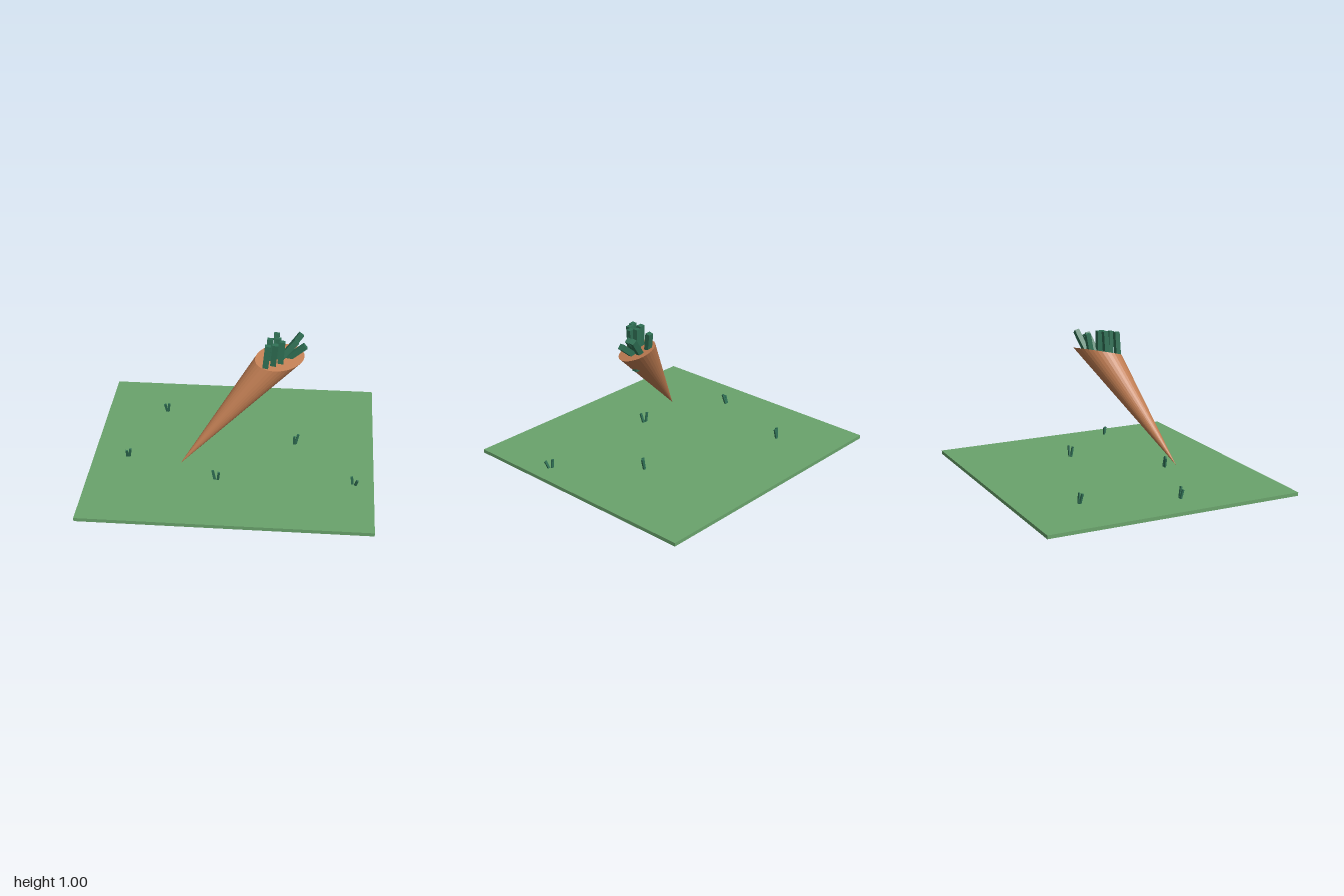
import * as THREE from 'three';

const material = (color) => new THREE.MeshStandardMaterial({ color, flatShading: true });

// Square bar running from point a to point b
function bar(name, a, b, width, depth, mat) {
  const start = new THREE.Vector3(...a), end = new THREE.Vector3(...b);
  const dir = end.clone().sub(start);
  const mesh = new THREE.Mesh(new THREE.BoxGeometry(width, dir.length(), depth), mat);
  mesh.position.copy(start).add(end).multiplyScalar(0.5);
  mesh.quaternion.setFromUnitVectors(new THREE.Vector3(0, 1, 0), dir.normalize());
  mesh.name = name;
  return mesh;
}

export function createModel() {
  const model = new THREE.Group();
  const groundMat = material(0x6aa36c);
  const carrotMat = material(0xc07d52);
  const leafMat = material(0x2f6f54);

  // Thin slab of lawn
  const lawn = new THREE.Mesh(new THREE.BoxGeometry(2, 0.025, 1.85), groundMat);
  lawn.position.y = 0.0275;
  lawn.name = 'lawn';
  model.add(lawn);

  // Carrot root: a cone sheared so its tip hangs away from the tilted rim
  const rim = new THREE.Vector3(0.317, 0.845, 0.052);
  const tip = new THREE.Vector3(-0.35, 0.13, 0.34);
  const axis = tip.clone().sub(rim);
  const shear = new THREE.Matrix4().makeBasis(
    new THREE.Vector3(0.168, -0.012, -0.055), axis, new THREE.Vector3(0, 0.034, -0.137));
  shear.setPosition(rim.clone().addScaledVector(axis, 0.5));
  const root = new THREE.Mesh(new THREE.ConeGeometry(1, 1, 32).applyMatrix4(shear), carrotMat);
  root.name = 'carrotRoot';
  model.add(root);

  // Stalks on the carrot: start point, end point
  const stalks = new THREE.Group();
  stalks.name = 'carrotStalks';
  [
    [[0.22, 0.78, 0.17], [0.24, 0.99, 0.165]],
    [[0.27, 0.78, 0.13], [0.29, 0.99, 0.145]],
    [[0.24, 0.78, 0.09], [0.25, 1.0, 0.08]],
    [[0.32, 0.78, 0.1], [0.335, 0.99, 0.095]],
    [[0.28, 0.8, -0.01], [0.29, 0.985, -0.04]],
    [[0.32, 0.8, -0.01], [0.46, 0.98, -0.05]],
    [[0.33, 0.8, 0.03], [0.49, 0.93, 0.03]],
    [[0.29, 0.8, 0.05], [0.43, 0.96, 0.02]],
    [[0.315, 0.69, 0.06], [0.305, 0.995, 0.06]],
  ].forEach(([a, b]) => stalks.add(bar('stalk', a, b, 0.04, 0.035, leafMat)));
  model.add(stalks);

  // Grass tufts, two blades each
  const grass = new THREE.Group();
  grass.name = 'grassTufts';
  [
    [[-0.76, 0.03, 0.145], [-0.76, 0.1, 0.165]],
    [[-0.748, 0.03, 0.145], [-0.732, 0.115, 0.165]],
    [[-0.555, 0.03, -0.5], [-0.57, 0.11, -0.485]],
    [[-0.55, 0.03, -0.505], [-0.54, 0.11, -0.495]],
    [[-0.105, 0.03, 0.385], [-0.12, 0.11, 0.385]],
    [[-0.085, 0.03, 0.385], [-0.075, 0.11, 0.405]],
    [[0.857, 0.003, 0.363], [0.845, 0.1, 0.365]],
    [[0.87, 0.03, 0.375], [0.885, 0.09, 0.395]],
    [[0.428, 0.03, -0.115], [0.428, 0.115, -0.1]],
    [[0.435, 0.03, -0.122], [0.455, 0.12, -0.122]],
  ].forEach(([a, b]) => grass.add(bar('grassBlade', a, b, 0.017, 0.012, leafMat)));
  model.add(grass);

  return model;
}
